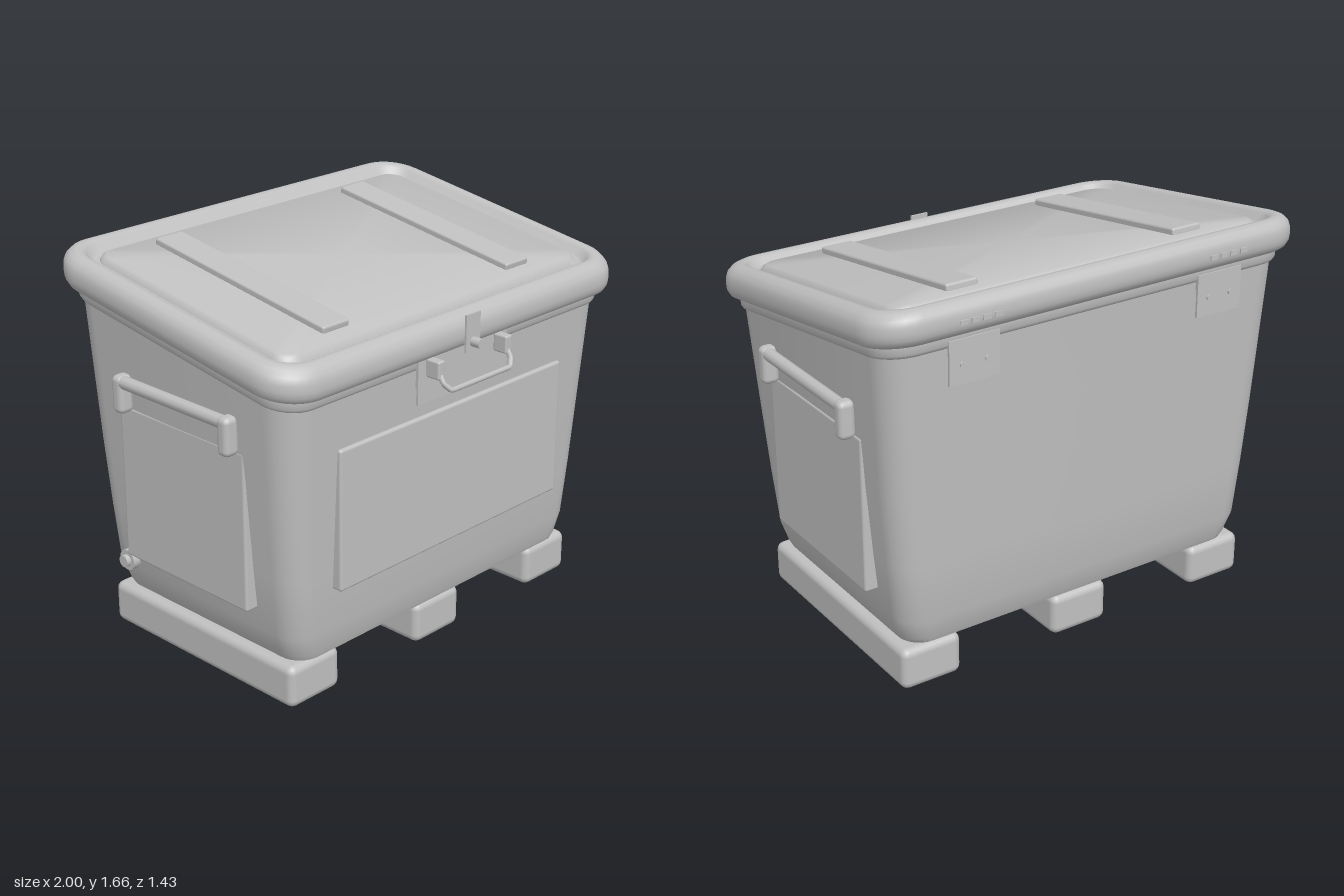
import * as THREE from 'three';
import { toCreasedNormals } from 'three/addons/utils/BufferGeometryUtils.js';
import { RoundedBoxGeometry } from 'three/addons/geometries/RoundedBoxGeometry.js';

const SLOPE = 0.153; // the lid rises towards the back

// Rounded rectangle ring; y may tilt along z
function ring(hx, back, front, r, y, slope = 0) {
  const pts = [], n = 8;
  const corners = [[hx - r, front - r], [-hx + r, front - r], [-hx + r, back + r], [hx - r, back + r]];
  corners.forEach(([cx, cz], q) => {
    for (let i = 0; i <= n; i++) {
      const t = (q + i / n) * Math.PI / 2;
      const z = cz + r * Math.sin(t);
      pts.push(new THREE.Vector3(cx + r * Math.cos(t), y - slope * z, z));
    }
  });
  return pts;
}

// Skin over rings from bottom to top, capped at both ends
function loft(rings, crease) {
  const n = rings[0].length, pos = [], idx = [];
  rings.forEach(r => r.forEach(p => pos.push(p.x, p.y, p.z)));
  for (let k = 0; k < rings.length - 1; k++) {
    for (let i = 0; i < n; i++) {
      const j = (i + 1) % n, a = k * n, b = a + n;
      idx.push(a + i, b + i, a + j, b + i, b + j, a + j);
    }
  }
  [0, rings.length - 1].forEach((k, top) => {
    const c = pos.length / 3;
    const m = rings[k].reduce((s, p) => s.add(p), new THREE.Vector3()).divideScalar(n);
    pos.push(m.x, m.y, m.z);
    for (let i = 0; i < n; i++) {
      const a = k * n + i, b = k * n + (i + 1) % n;
      if (top) idx.push(c, b, a); else idx.push(c, a, b);
    }
  });
  const g = new THREE.BufferGeometry();
  g.setAttribute('position', new THREE.Float32BufferAttribute(pos, 3));
  g.setIndex(idx);
  return toCreasedNormals(g, crease);
}

export function createModel() {
  const model = new THREE.Group();
  model.name = 'storageBin';
  const grey = new THREE.MeshStandardMaterial({ color: 0xc0c0c0 });
  grey.name = 'plain grey';

  const add = (name, geo, x = 0, y = 0, z = 0) => {
    const m = new THREE.Mesh(geo, grey);
    m.name = name;
    m.position.set(x, y, z);
    model.add(m);
    return m;
  };
  // Box given by its limits, softened when r > 0
  const box = (name, x0, x1, y0, y1, z0, z1, r = 0) => {
    const s = [x1 - x0, y1 - y0, z1 - z0];
    const g = r ? new RoundedBoxGeometry(...s, 2, r) : new THREE.BoxGeometry(...s);
    return add(name, g, (x0 + x1) / 2, (y0 + y1) / 2, (z0 + z1) / 2);
  };
  const rod = (name, pts, r) => {
    const path = new THREE.CurvePath();
    for (let i = 1; i < pts.length; i++) {
      path.add(new THREE.LineCurve3(new THREE.Vector3(...pts[i - 1]), new THREE.Vector3(...pts[i])));
    }
    return add(name, new THREE.TubeGeometry(path, 48, r, 10));
  };

  // Tapered tub with a sloping top edge
  add('tub', loft([
    ring(0.79, -0.535, 0.49, 0.09, 0.178),
    ring(0.81, -0.55, 0.51, 0.1, 0.185),
    ring(0.822, -0.56, 0.518, 0.1, 0.21),
    ring(0.852, -0.582, 0.532, 0.11, 0.3),
    ring(0.876, -0.595, 0.546, 0.115, 0.55),
    ring(0.9, -0.608, 0.56, 0.12, 0.85),
    ring(0.935, -0.64, 0.582, 0.13, 1.375, SLOPE),
  ], 0.7));

  // Lid: lip, fat rolled rim, groove and raised centre panel [inset, height]
  const lid = [
    [0.075, -0.055], [0.058, -0.048], [0.05, -0.035], [0.05, -0.004],
    [0.034, 0], [0.014, 0.012], [0.002, 0.034], [0, 0.055], [0, 0.085],
    [0.008, 0.11], [0.026, 0.13], [0.05, 0.141], [0.07, 0.14], [0.086, 0.13],
    [0.1, 0.105], [0.115, 0.096], [0.132, 0.1], [0.14, 0.118], [0.152, 0.127],
  ];
  add('lid', loft(lid.map(([d, h]) =>
    ring(1 - d, -0.71 + d, 0.65 - d, Math.max(0.07, 0.18 - d * 0.8), 1.42 + h, SLOPE)), 0.8));

  for (const s of [-1, 1]) {
    // Raised strips on the lid
    const strip = add('lidStrip', new RoundedBoxGeometry(0.14, 0.034, 0.96, 2, 0.01), s * 0.53, 1.562, -0.035);
    strip.rotation.x = Math.atan(SLOPE);

    // Side panel with its grab handle
    const x = (a, b) => s > 0 ? [a, b] : [-b, -a];
    box('sidePanel', ...x(0.84, 0.917), 0.39, 1.06, -0.39, 0.33, 0.012);
    rod('handleBar', [[s * 0.953, 1.182, -0.345], [s * 0.953, 1.182, 0.295]], 0.027);
    for (const z of [-0.33, 0.28]) box('handleFoot', ...x(0.91, 0.982), 1.05, 1.21, z - 0.031, z + 0.031, 0.024);

    // Hinge plate, bolts and knuckles at the back
    const cx = s * 0.58;
    box('hingePlate', cx - 0.11, cx + 0.11, 1.32, 1.5, -0.665, -0.655);
    box('hingeSpacer', cx - 0.1, cx + 0.1, 1.43, 1.49, -0.658, -0.6);
    for (const dx of [-0.055, 0.055]) {
      add('hingeBolt', new THREE.CylinderGeometry(0.011, 0.011, 0.07, 10), cx + dx, 1.4, -0.638).rotation.x = Math.PI / 2;
    }
    for (const dx of [-0.075, -0.025, 0.025, 0.075]) box('hingeKnuckle', cx + dx - 0.017, cx + dx + 0.017, 1.575, 1.595, -0.715, -0.69);
  }

  // Front panel
  box('frontPanel', -0.66, 0.66, 0.475, 1.07, 0.5, 0.587, 0.012);

  // Runners underneath
  for (const x of [-0.72, 0, 0.72]) box('runner', x - 0.136, x + 0.136, 0, 0.183, -0.565, 0.51, 0.034);

  // Front latch: back plate, lugs, swinging bail, tongue and button
  box('latchPlate', -0.262, 0.262, 1.142, 1.325, 0.603, 0.612);
  box('latchSpacer', -0.24, 0.24, 1.2, 1.31, 0.56, 0.604);
  for (const x of [-0.2, 0.2]) box('latchLug', x - 0.02, x + 0.02, 1.25, 1.325, 0.611, 0.678, 0.008);
  rod('latchBail', [
    [-0.2, 1.28, 0.66], [-0.2, 1.235, 0.688], [-0.175, 1.208, 0.706],
    [0.175, 1.208, 0.706], [0.2, 1.235, 0.688], [0.2, 1.28, 0.66],
  ], 0.011);
  box('latchTongue', -0.041, 0.041, 1.31, 1.465, 0.651, 0.66);
  add('latchButton', new THREE.CylinderGeometry(0.02, 0.02, 0.045, 14), 0, 1.35, 0.68).rotation.x = Math.PI / 2;

  // Drain plug low on one side
  add('drainFlange', new THREE.CylinderGeometry(0.045, 0.045, 0.04, 18), -0.868, 0.34, -0.43).rotation.z = Math.PI / 2;
  add('drainPlug', new THREE.CylinderGeometry(0.026, 0.026, 0.06, 14), -0.878, 0.34, -0.43).rotation.z = Math.PI / 2;

  return model;
}
